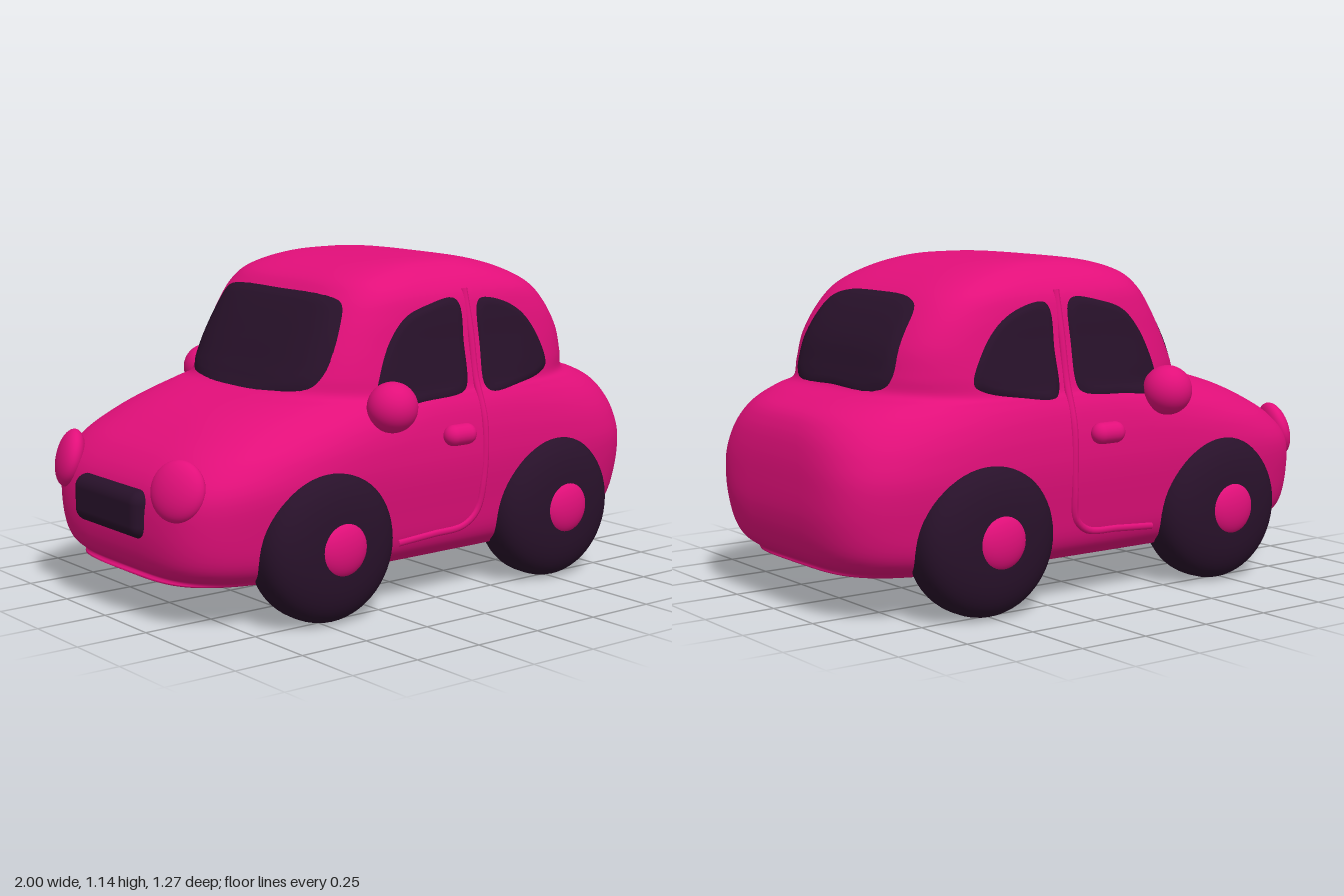
import * as THREE from 'three';
import { RoundedBoxGeometry } from 'three/addons/geometries/RoundedBoxGeometry.js';

const paint = new THREE.MeshStandardMaterial({ color: 0xe20f7a });
paint.name = 'pink paint';
const dark = new THREE.MeshStandardMaterial({ color: 0x28112a, side: THREE.DoubleSide });
dark.name = 'dark glass and rubber';

// Horizontal sections of the body: height, nose x, tail x, half width, corner squareness
const SECTIONS = [
  [0.14, 0.0, 0.02, 0.01, 3],
  [0.14, -0.84, 0.82, 0.40, 4],
  [0.165, -0.92, 0.92, 0.475, 4.5],
  [0.22, -0.96, 0.97, 0.515, 4.8],
  [0.33, -0.972, 0.995, 0.535, 5],
  [0.45, -0.955, 0.995, 0.55, 5],
  [0.54, -0.89, 0.985, 0.55, 4.4],
  [0.61, -0.79, 0.965, 0.542, 3.7],
  [0.66, -0.69, 0.93, 0.53, 3.2],
  [0.695, -0.58, 0.86, 0.515, 3.1],
  [0.72, -0.485, 0.775, 0.503, 3.3],
  [0.78, -0.44, 0.745, 0.49, 3.8],
  [0.87, -0.387, 0.71, 0.473, 4.3],
  [0.96, -0.333, 0.65, 0.459, 4.5],
  [1.03, -0.285, 0.58, 0.44, 4.5],
  [1.08, -0.235, 0.49, 0.40, 4.2],
  [1.115, -0.14, 0.385, 0.345, 3.8],
  [1.133, -0.02, 0.275, 0.28, 3.4],
  [1.14, 0.1, 0.16, 0.12, 3],
  [1.141, 0.129, 0.131, 0.002, 3],
];

function sectionAt(t) {
  const last = SECTIONS.length - 1;
  const i = Math.min(Math.floor(t), last - 1);
  const f = t - i;
  const at = (k) => SECTIONS[Math.max(0, Math.min(last, k))];
  const v = [0, 1, 2, 3, 4].map((k) => {
    const [p, q, r, s] = [at(i - 1)[k], at(i)[k], at(i + 1)[k], at(i + 2)[k]];
    return q + 0.5 * f * (r - p + f * (2 * p - 5 * q + 4 * r - s + f * (3 * (q - r) + s - p)));
  });
  return { y: v[0], c: (v[1] + v[2]) / 2, a: (v[2] - v[1]) / 2, w: v[3], n: v[4] };
}

function sectionAtHeight(y) {
  let lo = 2, hi = SECTIONS.length - 1;
  for (let k = 0; k < 30; k++) {
    const mid = (lo + hi) / 2;
    if (sectionAt(mid).y < y) lo = mid; else hi = mid;
  }
  return sectionAt(lo);
}

const arc = (u, n) => Math.pow(Math.max(0, 1 - Math.pow(Math.abs(u), n)), 1 / n);

// Points on the body surface, pushed out by a small lift
function onSide(x, y, side, lift) {
  const s = sectionAtHeight(y);
  return new THREE.Vector3(x, y, side * (s.w * arc((x - s.c) / s.a, s.n) + lift));
}
function onEnd(z, y, end, lift) {
  const s = sectionAtHeight(y);
  return new THREE.Vector3(s.c + end * (s.a * arc(z / s.w, s.n) + lift), y, z);
}

function surface(points, rows, cols) {
  const index = [];
  for (let i = 0; i < rows - 1; i++) {
    for (let j = 0; j < cols; j++) {
      const k = (j + 1) % cols;
      const a = i * cols + j, b = i * cols + k, c = a + cols, d = b + cols;
      index.push(a, c, b, b, c, d);
    }
  }
  const g = new THREE.BufferGeometry().setFromPoints(points);
  g.setIndex(index);
  g.computeVertexNormals();
  return g;
}

function bodyGeometry() {
  const cols = 128, steps = 6;
  const rows = (SECTIONS.length - 1) * steps + 1;
  const power = (v, n) => Math.sign(v) * Math.pow(Math.abs(v), 2 / n);
  const points = [];
  for (let i = 0; i < rows; i++) {
    const s = sectionAt(i / steps);
    for (let j = 0; j < cols; j++) {
      const q = (j / cols) * Math.PI * 2;
      points.push(new THREE.Vector3(
        s.c + s.a * power(Math.cos(q), s.n), s.y, s.w * power(Math.sin(q), s.n)));
    }
  }
  return surface(points, rows, cols);
}

// Window pane: rounded outline filled with rings and laid on the body
function paneGeometry(outline, project) {
  const curve = new THREE.CatmullRomCurve3(
    outline.map(([u, v]) => new THREE.Vector3(u, v, 0)), true);
  const rim = curve.getPoints(64).slice(0, 64);
  const mid = rim.reduce((m, p) => m.add(p), new THREE.Vector3()).divideScalar(64);
  const points = [];
  for (let i = 0; i <= 12; i++) {
    for (const p of rim) {
      const q = mid.clone().lerp(p, Math.max(i / 12, 0.001));
      points.push(project(q.x, q.y, i === 12 ? 0 : 0.008));
    }
  }
  return surface(points, 13, 64);
}

export function createModel() {
  const car = new THREE.Group();
  car.name = 'car';
  const add = (name, geometry, material, x = 0, y = 0, z = 0) => {
    const m = new THREE.Mesh(geometry, material);
    m.name = name;
    m.position.set(x, y, z);
    car.add(m);
    return m;
  };
  const ball = new THREE.SphereGeometry(1, 40, 28);

  add('body', bodyGeometry(), paint);

  // Windscreen and rear window
  const windscreen = [[-0.34, 0.745], [-0.2, 0.725], [0, 0.72], [0.2, 0.725], [0.34, 0.745], [0.37, 0.8],
    [0.36, 0.94], [0.33, 1.01], [0.27, 1.03], [0, 1.035], [-0.27, 1.03], [-0.33, 1.01], [-0.36, 0.94], [-0.37, 0.8]];
  add('windscreen', paneGeometry(windscreen, (z, y, l) => onEnd(z, y, -1, l)), dark);
  const rear = [[-0.26, 0.735], [0, 0.73], [0.26, 0.735], [0.295, 0.77], [0.29, 0.9], [0.265, 0.99],
    [0.2, 1.02], [0, 1.03], [-0.2, 1.02], [-0.265, 0.99], [-0.29, 0.9], [-0.295, 0.77]];
  add('rearWindow', paneGeometry(rear, (z, y, l) => onEnd(z, y, 1, l)), dark);

  const frontPane = [[-0.21, 0.685], [-0.05, 0.69], [0.11, 0.705], [0.132, 0.73], [0.137, 0.87], [0.135, 0.99],
    [0.11, 1.015], [0.0, 1.0], [-0.1, 0.965], [-0.17, 0.89], [-0.22, 0.78], [-0.235, 0.71]];
  const backPane = [[0.23, 0.695], [0.36, 0.705], [0.49, 0.73], [0.523, 0.755], [0.49, 0.85], [0.42, 0.94],
    [0.33, 0.99], [0.23, 1.005], [0.21, 0.98], [0.207, 0.85], [0.207, 0.72]];
  const seam = [[0.17, 1.04], [0.172, 0.9], [0.172, 0.75], [0.175, 0.6], [0.172, 0.4], [0.155, 0.29],
    [0.1, 0.245], [-0.03, 0.235], [-0.18, 0.225]];

  const tyreProfile = [];
  for (let i = 0; i <= 32; i++) {
    const q = (i / 32 - 0.5) * Math.PI;
    const p = (v) => Math.sign(v) * Math.pow(Math.abs(v), 2 / 2.9);
    tyreProfile.push(new THREE.Vector2(0.255 * p(Math.max(0, Math.cos(q))), 0.13 * p(Math.sin(q))));
  }
  const tyre = new THREE.LatheGeometry(tyreProfile, 56).rotateX(Math.PI / 2);

  for (const [label, s] of [['right', -1], ['left', 1]]) {
    const project = (x, y, l) => onSide(x, y, s, l);
    add(label + 'FrontSideWindow', paneGeometry(frontPane, project), dark);
    add(label + 'RearSideWindow', paneGeometry(backPane, project), dark);
    const path = new THREE.CatmullRomCurve3(seam.map(([x, y]) => onSide(x, y, s, -0.004)));
    add(label + 'DoorEdge', new THREE.TubeGeometry(path, 64, 0.014, 8), paint);

    // Wheels and hubs
    for (const [end, x] of [['Front', -0.472], ['Rear', 0.508]]) {
      add(label + end + 'Tyre', tyre, dark, x, 0.26, s * 0.482);
      add(label + end + 'Hub', ball, paint, x, 0.265, s * 0.59).scale.set(0.095, 0.095, 0.045);
    }

    // Lamp, mirror and handle
    const lamp = add(label + 'Headlight', ball, paint, -0.925, 0.47, s * 0.335);
    lamp.scale.set(0.1, 0.1, 0.046);
    lamp.lookAt(-1.925, 0.74, s * 0.735);
    add(label + 'Mirror', ball, paint, -0.226, 0.69, s * 0.54).scale.setScalar(0.084);
    add(label + 'DoorHandle', new THREE.CapsuleGeometry(0.036, 0.055, 10, 20).rotateZ(Math.PI / 2),
      paint, 0.048, 0.571, s * 0.561);
  }

  // Grille, wheel wells and floor disc
  add('grille', new RoundedBoxGeometry(0.09, 0.16, 0.41, 6, 0.044), dark, -0.955, 0.37, 0);
  for (const [name, x] of [['frontWheelWell', -0.49], ['rearWheelWell', 0.51]]) {
    add(name, ball, dark, x, 0.25, 0).scale.set(0.25, 0.122, 0.56);
  }
  add('floorDisc', ball, paint, 0.015, 0.13, 0).scale.set(0.235, 0.05, 0.22);

  return car;
}
